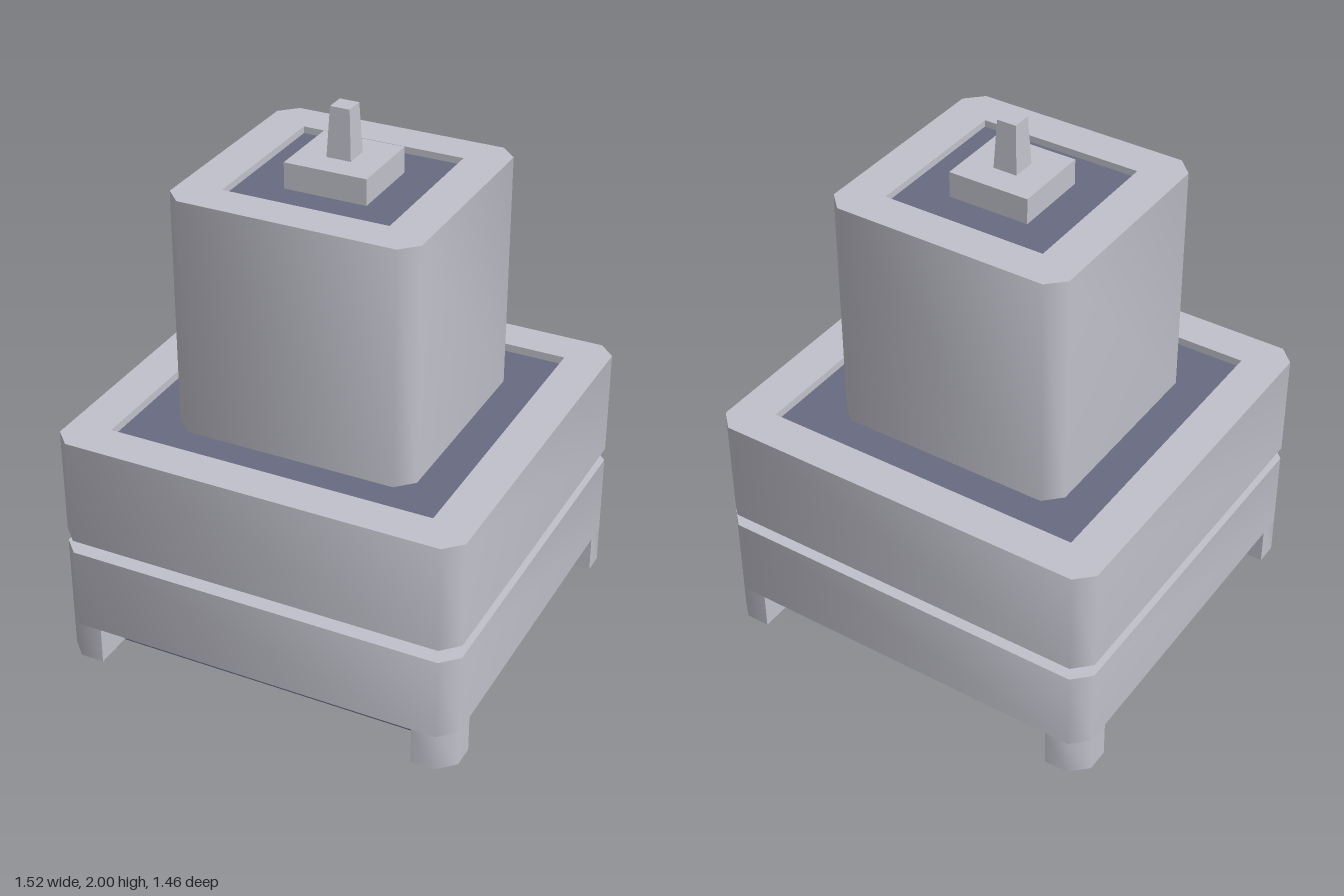
import * as THREE from 'three';
import { toCreasedNormals } from 'three/addons/utils/BufferGeometryUtils.js';

const CREASE = Math.PI * 0.3; // smooth over 45 degree chamfers, sharp at square edges

export function createModel() {
  const model = new THREE.Group();
  model.name = 'steppedTower';
  const stone = new THREE.MeshStandardMaterial({ name: 'paleGrey', color: 0xc1c1cb });
  const dark = new THREE.MeshStandardMaterial({ name: 'slateBlue', color: 0x686a81 });

  function add(name, geometry, material) {
    const mesh = new THREE.Mesh(geometry, material);
    mesh.name = name;
    model.add(mesh);
    return mesh;
  }

  // Upright prism over a plan outline
  function prism(shape, y0, y1) {
    const g = new THREE.ExtrudeGeometry(shape, { depth: y1 - y0, bevelEnabled: false });
    g.rotateX(-Math.PI / 2).translate(0, y0, 0);
    return toCreasedNormals(g, CREASE);
  }

  const outline = (points) => points.map(([x, z]) => new THREE.Vector2(x, z));

  // Square collar with chamfered corners and a square opening
  function collar(w, d, holeW, holeD, y0, y1, c = 0.06) {
    const shape = new THREE.Shape(outline([
      [w, c - d], [w, d - c], [w - c, d], [c - w, d],
      [-w, d - c], [-w, c - d], [c - w, -d], [w - c, -d],
    ]));
    shape.holes.push(new THREE.Path(outline([
      [holeW, -holeD], [-holeW, -holeD], [-holeW, holeD], [holeW, holeD],
    ])));
    return prism(shape, y0, y1);
  }

  function box(name, w, d, y0, y1, material) {
    add(name, new THREE.BoxGeometry(2 * w, y1 - y0, 2 * d), material)
      .position.y = (y0 + y1) / 2;
  }

  // Base: recessed core, two collars with a gap between them
  box('baseCore', 0.607, 0.583, 0, 0.87, dark);
  add('lowerCollar', collar(0.76, 0.73, 0.607, 0.583, 0.14, 0.45), stone);
  add('upperCollar', collar(0.76, 0.73, 0.607, 0.583, 0.5, 0.9), stone);

  // Corner feet
  for (const sx of [-1, 1]) {
    for (const sz of [-1, 1]) {
      const foot = new THREE.Shape(outline([
        [0.61, 0.585], [0.76, 0.585], [0.76, 0.67], [0.7, 0.73], [0.61, 0.73],
      ].map(([x, z]) => [x * sx, z * sz])));
      add('foot', prism(foot, 0, 0.14), stone);
    }
  }

  // Tower with a recessed top
  add('tower', collar(0.455, 0.435, 0.305, 0.293, 0.87, 1.75), stone);
  box('towerCore', 0.305, 0.293, 0.87, 1.725, dark);

  // Cap plate and tapered stub
  box('capPlate', 0.152, 0.146, 1.725, 1.82, stone);
  const stub = new THREE.CylinderGeometry(0.036 * Math.SQRT2, 0.045 * Math.SQRT2, 0.18, 4);
  stub.rotateY(Math.PI / 4).translate(0, 1.91, 0);
  add('stub', toCreasedNormals(stub, CREASE), stone);

  return model;
}
